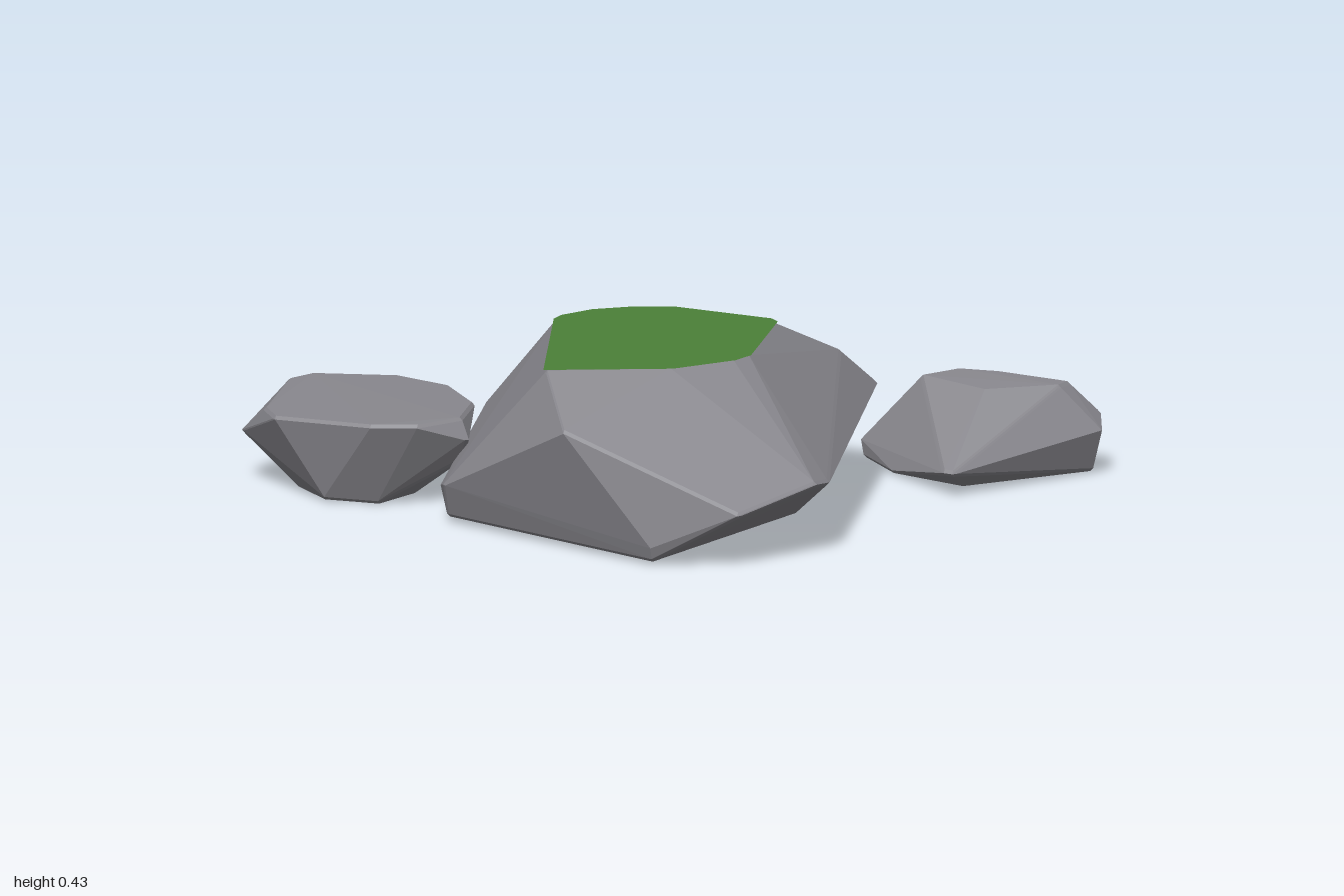
import * as THREE from 'three';
import { ConvexGeometry } from 'three/addons/geometries/ConvexGeometry.js';

const BEVEL = 0.008;

// Faceted stone: hull of its corners, each widened slightly to soften the edges
function stone(name, corners, material) {
  const mid = new THREE.Vector3();
  corners.forEach((c) => mid.add(new THREE.Vector3(...c)));
  mid.divideScalar(corners.length);
  const points = [];
  for (const [x, y, z] of corners) {
    const p = new THREE.Vector3(x, y, z);
    p.x -= Math.sign(x - mid.x) * BEVEL;
    p.y -= Math.sign(y - mid.y) * BEVEL;
    p.z -= Math.sign(z - mid.z) * BEVEL;
    for (const s of [-BEVEL, BEVEL]) {
      points.push(new THREE.Vector3(p.x + s, p.y, p.z));
      points.push(new THREE.Vector3(p.x, p.y + s, p.z));
      points.push(new THREE.Vector3(p.x, p.y, p.z + s));
    }
  }
  const mesh = new THREE.Mesh(new ConvexGeometry(points), material);
  mesh.name = name;
  return mesh;
}

export function createModel() {
  const group = new THREE.Group();
  group.name = 'mossyRocks';
  const rock = new THREE.MeshStandardMaterial({ color: 0x88878d });
  rock.name = 'rockGrey';
  const moss = new THREE.MeshStandardMaterial({ color: 0x4c8038 });
  moss.name = 'mossGreen';

  // Flat crown of the main boulder as [x, z]
  const crown = [
    [-0.25, 0], [-0.245, -0.04], [-0.19, -0.12], [-0.1, -0.18], [0.0, -0.21], [0.26, -0.175], [0.285, -0.15],
    [0.33, 0.19], [0.31, 0.25], [0.19, 0.38], [0.14, 0.4], [-0.11, 0.495],
  ];
  group.add(stone('mainBoulder', [
    ...crown.map(([x, z]) => [x, 0.434, z]),
    // back and left shoulders
    [0.39, 0.33, -0.34], [0.455, 0.22, -0.425], [0.43, 0.2, -0.43],
    [-0.1, 0.18, -0.365], [-0.31, 0.16, -0.31], [-0.36, 0.18, -0.24],
    [-0.42, 0.21, -0.13], [-0.44, 0.19, -0.05], [-0.42, 0.08, 0.38], [-0.39, 0.1, 0.45],
    // front and right shoulders
    [-0.01, 0.33, 0.66], [0.24, 0.045, 0.68], [0.46, 0.14, 0.66],
    [0.6, 0.19, 0.49], [0.61, 0.18, 0.42],
    // underside
    [0.24, 0.015, 0.67], [-0.39, 0.02, 0.42], [-0.41, 0.02, 0.05],
    [-0.26, 0.012, -0.2], [0.33, 0.012, -0.32], [0.42, 0.015, 0.08],
  ], rock));

  // Moss on the crown
  const shape = new THREE.Shape(crown.map(([x, z]) => new THREE.Vector2(x, -z)));
  const patch = new THREE.Mesh(new THREE.ShapeGeometry(shape), moss);
  patch.name = 'mossPatch';
  patch.rotation.x = -Math.PI / 2;
  patch.position.y = 0.4365;
  group.add(patch);

  group.add(stone('flatRock', [
    // top rim
    [-0.95, 0.225, -0.02], [-0.9, 0.235, -0.05], [-0.68, 0.235, -0.095], [-0.53, 0.235, -0.04],
    [-0.42, 0.235, 0.1], [-0.4, 0.235, 0.27], [-0.48, 0.23, 0.355], [-0.59, 0.23, 0.39],
    [-0.87, 0.22, 0.345], [-0.92, 0.22, 0.27],
    // waist
    [-1.0, 0.13, 0.2], [-0.96, 0.14, 0.0], [-0.9, 0.13, -0.075], [-0.67, 0.17, -0.12],
    [-0.51, 0.17, -0.05], [-0.38, 0.19, 0.28], [-0.4, 0.12, 0.25],
    // base
    [-0.86, 0.005, 0.2], [-0.84, 0.005, 0.02], [-0.75, 0.01, 0.32], [-0.6, 0.005, 0.3],
    [-0.55, 0.005, 0.17], [-0.65, 0.005, -0.06],
  ], rock));

  group.add(stone('pointedRock', [
    // top
    [0.53, 0.23, -0.535], [0.6, 0.235, -0.605], [0.7, 0.235, -0.61],
    [0.91, 0.235, -0.57], [0.9, 0.235, -0.53], [0.73, 0.225, -0.45],
    // sides
    [0.98, 0.16, -0.6], [1.0, 0.13, -0.55], [0.37, 0.04, -0.55], [0.69, 0.06, -0.21], [0.73, 0.06, -0.205],
    // base
    [0.38, 0.005, -0.54], [0.65, 0.005, -0.655], [0.87, 0.01, -0.685],
    [0.97, 0.01, -0.57], [0.72, 0.01, -0.31], [0.5, 0.01, -0.38],
  ], rock));

  return group;
}
